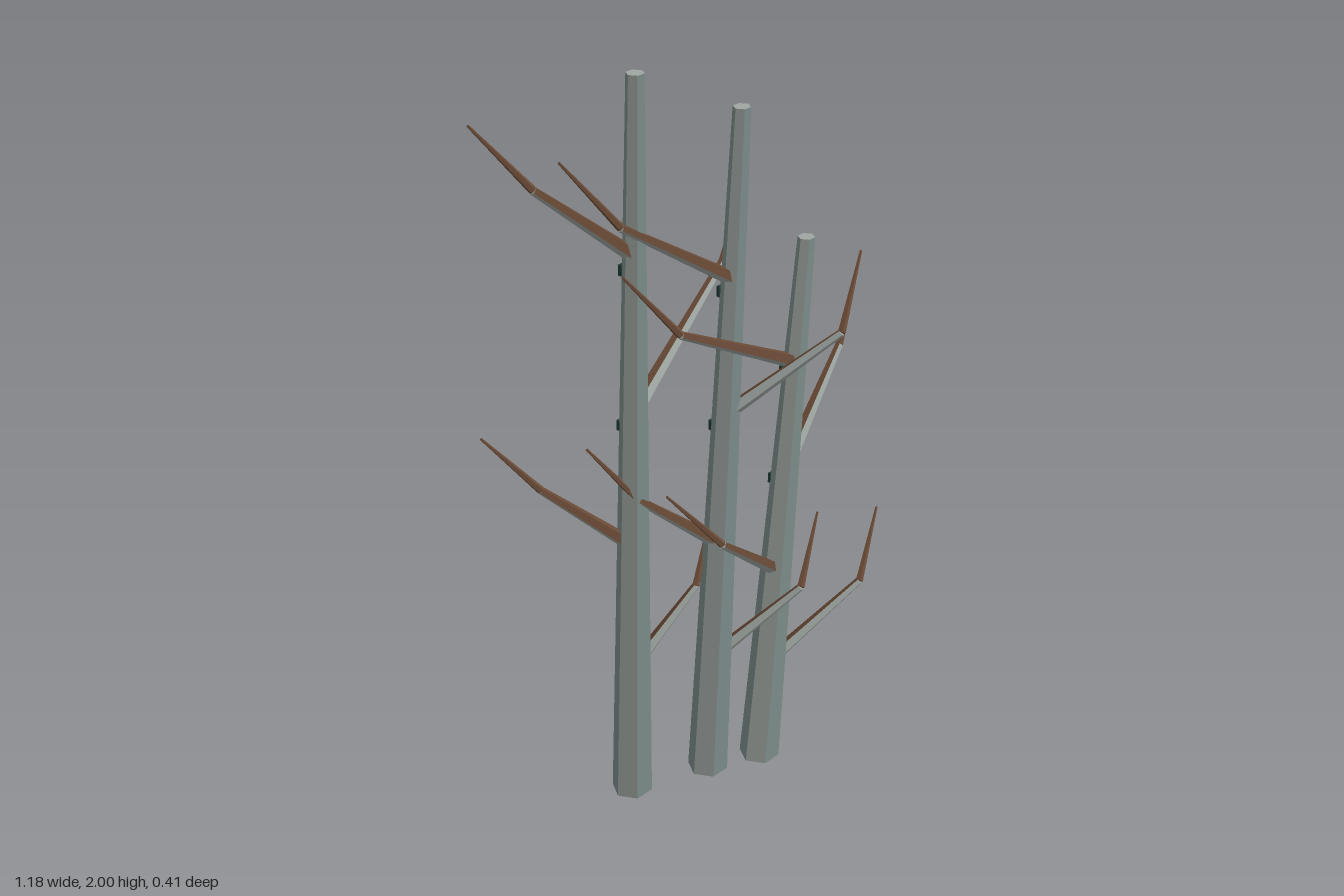
import * as THREE from 'three';

const mat = (name, color) => Object.assign(new THREE.MeshStandardMaterial({ color }), { name });
const V = (p) => new THREE.Vector3(...p);

// Flat-sided tapered limb between two points; pick(i) gives the material index of side i.
function limb(a, b, ra, rb, sides, start, u, v, pick) {
  const point = (c, r, i) => {
    const t = start + (i / sides) * Math.PI * 2;
    return c.clone().addScaledVector(u, r * Math.cos(t)).addScaledVector(v, r * Math.sin(t));
  };
  const pos = [];
  const geo = new THREE.BufferGeometry();
  const tri = (...pts) => pts.forEach((p) => pos.push(p.x, p.y, p.z));
  const face = (index, ...tris) => {
    geo.addGroup(pos.length / 3, tris.length * 3, index);
    tris.forEach((t) => tri(...t));
  };
  for (let i = 0; i < sides; i++) {
    const a0 = point(a, ra, i), a1 = point(a, ra, i + 1);
    const b0 = point(b, rb, i), b1 = point(b, rb, i + 1);
    face(pick(i), [a0, a1, b1], [a0, b1, b0]);
    face(0, [b, b0, b1], [a, a1, a0]);
  }
  geo.setAttribute('position', new THREE.Float32BufferAttribute(pos, 3));
  geo.computeVertexNormals();
  return geo;
}

// Each branch: start height, elbow, tip
const TREES = [
  {
    name: 'tallTree', base: [-0.185, 0, -0.085], top: [-0.247, 2, 0.063],
    branches: [
      [0.4, [-0.03, 0.6, -0.01], [0.07, 0.755, -0.07]],
      [0.78, [-0.42, 0.98, -0.1], [-0.535, 1.13, -0.165]],
      [1.16, [0.16, 1.385, -0.14], [0.27, 1.53, -0.2]],
      [1.57, [-0.48, 1.78, 0.01], [-0.59, 1.93, -0.055]],
    ],
  },
  {
    name: 'middleTree', base: [0.025, 0, -0.03], top: [0.045, 1.86, 0.064],
    branches: [
      [0.36, [0.21, 0.56, 0.115], [0.32, 0.71, 0.05]],
      [0.71, [-0.22, 0.93, 0.01], [-0.325, 1.08, -0.045]],
      [1.08, [0.245, 1.295, 0.195], [0.36, 1.45, 0.13]],
      [1.44, [-0.29, 1.66, 0.06], [-0.405, 1.82, 0]],
    ],
  },
  {
    name: 'shortTree', base: [0.168, 0, 0.013], top: [0.246, 1.495, 0.064],
    branches: [
      [0.29, [0.41, 0.5, 0.12], [0.525, 0.65, 0.055]],
      [0.58, [-0.07, 0.81, 0.142], [-0.185, 0.955, 0.075]],
      [0.87, [0.47, 1.1, -0.05], [0.585, 1.24, -0.118]],
      [1.17, [-0.175, 1.39, 0.12], [-0.285, 1.54, 0.055]],
    ],
  },
];

export function createModel() {
  const paleBark = mat('pale grey bark', 0x9fa7a3);
  const tealBark = mat('grey green bark', 0x7d8f8c);
  const brown = mat('brown twig', 0x6a4a36);
  const scar = mat('dark green scar', 0x203b37);
  const model = new THREE.Group();
  model.name = 'bareTrees';
  const add = (parent, name, geo, material) => {
    const mesh = new THREE.Mesh(geo, material);
    mesh.name = name;
    parent.add(mesh);
    return mesh;
  };
  const X = V([1, 0, 0]), Y = V([0, 1, 0]), Z = V([0, 0, 1]);
  const R0 = 0.053, R1 = 0.021, SIDES = 6;

  // Branch segment, with its upper and left faces brown
  const segment = (parent, name, a, b, ra, rb, allBrown) => {
    const dir = b.clone().sub(a).normalize();
    const left = Y.clone().cross(dir).normalize();
    const up = dir.clone().cross(left);
    const geo = limb(a, b, ra, rb, 5, -0.45, left, up, (i) => (allBrown || i < 2 ? 1 : 0));
    add(parent, name, geo, [allBrown ? brown : paleBark, brown]);
  };

  for (const { name, base, top, branches } of TREES) {
    const tree = new THREE.Group();
    tree.name = name;
    model.add(tree);
    const a = V(base), b = V(top);

    // Leaning trunk with two greener sides
    const trunk = limb(a, b, R0, R1, SIDES, -0.39, Z, X, (i) => (i === 0 || i === 4 ? 1 : 0));
    add(tree, 'trunk', trunk, [paleBark, tealBark]);

    branches.forEach(([y, elbow, tip], i) => {
      const f = y / b.y;
      const start = a.clone().lerp(b, f);
      const mid = V(elbow);
      segment(tree, 'branch', start, mid, 0.019, 0.010, false);
      segment(tree, 'twig', mid, V(tip), 0.010, 0.003, true);

      // Scar on the back of the trunk, a little below the branch
      const c = a.clone().lerp(b, f - 0.02);
      const r = THREE.MathUtils.lerp(R0, R1, f - 0.02);
      const plate = add(tree, 'barkScar', new THREE.BoxGeometry(i < 2 ? 0.02 : 0.046, 0.026, 0.009), scar);
      plate.position.set(c.x, c.y, c.z - r * 0.866 - 0.003);
      plate.rotation.y = 0.13;
    });
  }
  return model;
}
